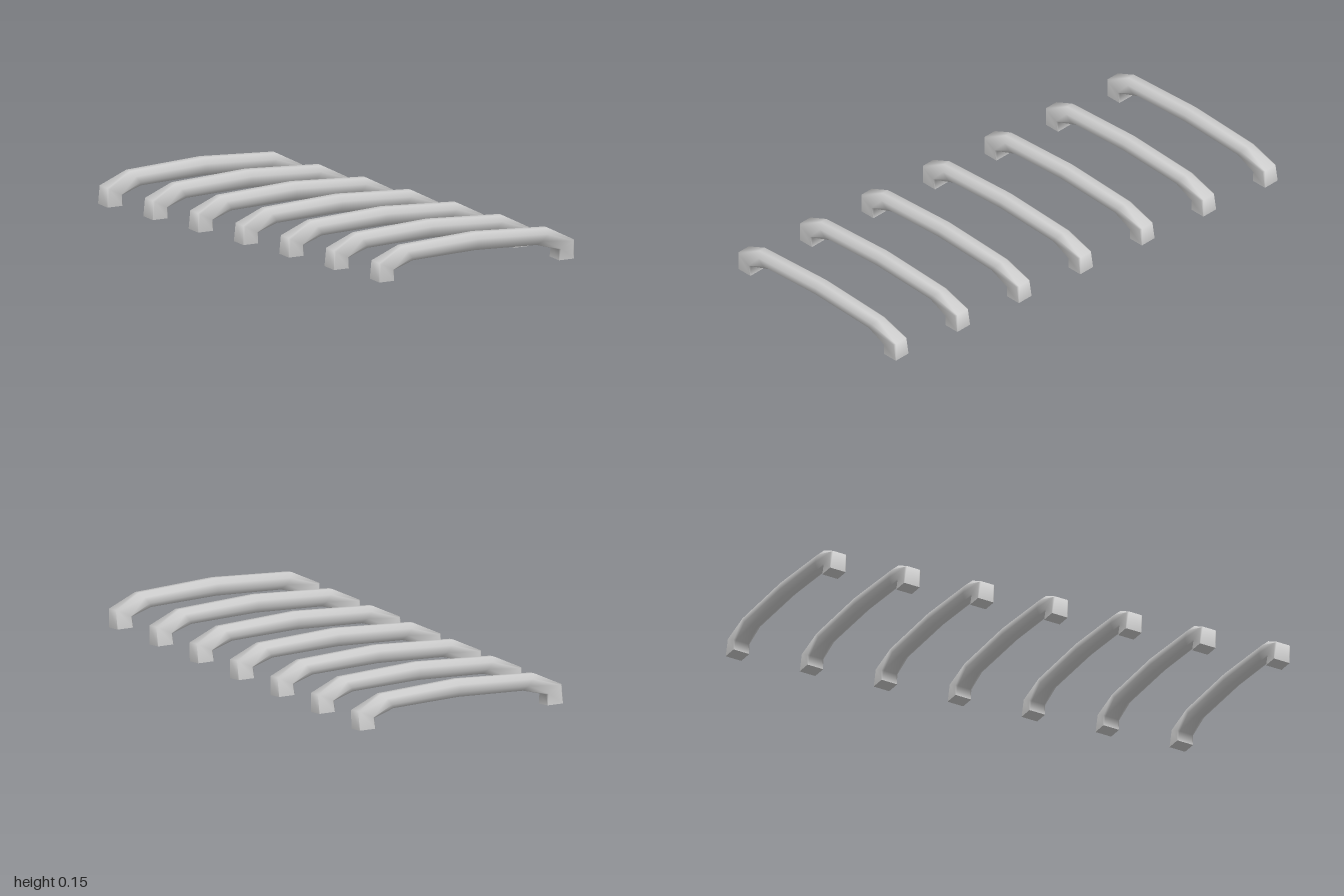
import * as THREE from 'three';

// Cross-sections of half a rung, from foot to crown:
// outer x,y, inner x,y, and corner squareness (0.41 = octagon, 1 = square)
const half = [
  [-0.455, 0, -0.385, 0, 0.96],
  [-0.455, 0.075, -0.385, 0.042, 0.8],
  [-0.343, 0.129, -0.29, 0.067, 0.41],
  [0, 0.147, 0, 0.077, 0.41],
];
const mirrored = half.slice(0, -1).reverse().map(([ox, oy, ix, iy, k]) => [-ox, oy, -ix, iy, k]);
const stations = [...half, ...mirrored];
const HALF_DEPTH = 0.034;

function ring([ox, oy, ix, iy, k]) {
  const outline = [[1, -k], [1, k], [k, 1], [-k, 1], [-1, k], [-1, -k], [-k, -1], [k, -1]];
  return outline.map(([u, v]) => [
    (ox + ix) / 2 + (u * (ox - ix)) / 2,
    (oy + iy) / 2 + (u * (oy - iy)) / 2,
    v * HALF_DEPTH,
  ]);
}

function rungGeometry() {
  const rings = stations.map(ring);
  const n = 8;
  const last = rings.length - 1;
  // The feet get their own vertices so that their soles stay flat
  const points = [...rings, rings[0], rings[last]].flat(2);
  const index = [];
  for (let i = 0; i < last; i++) {
    for (let j = 0; j < n; j++) {
      const a = i * n + j, b = i * n + ((j + 1) % n);
      index.push(a, b, a + n, b, b + n, a + n);
    }
  }
  const left = (last + 1) * n, right = left + n;
  for (let j = 1; j < n - 1; j++) {
    index.push(left, left + j + 1, left + j, right, right + j, right + j + 1);
  }
  const geometry = new THREE.BufferGeometry();
  geometry.setAttribute('position', new THREE.Float32BufferAttribute(points, 3));
  geometry.setIndex(index);
  geometry.computeVertexNormals();
  return geometry;
}

export function createModel() {
  const model = new THREE.Group();
  model.name = 'archedRungs';
  const material = new THREE.MeshStandardMaterial({ color: 0xcccccc });
  const geometry = rungGeometry();

  // Seven equal rungs in a row, each leaning slightly forward
  for (let i = 0; i < 7; i++) {
    const rung = new THREE.Mesh(geometry, material);
    rung.name = `rung${i + 1}`;
    rung.position.set(0, 0.003, (i - 3) * 0.3185 - 0.004);
    rung.rotation.set(0.085, 0.01, 0);
    model.add(rung);
  }
  return model;
}
